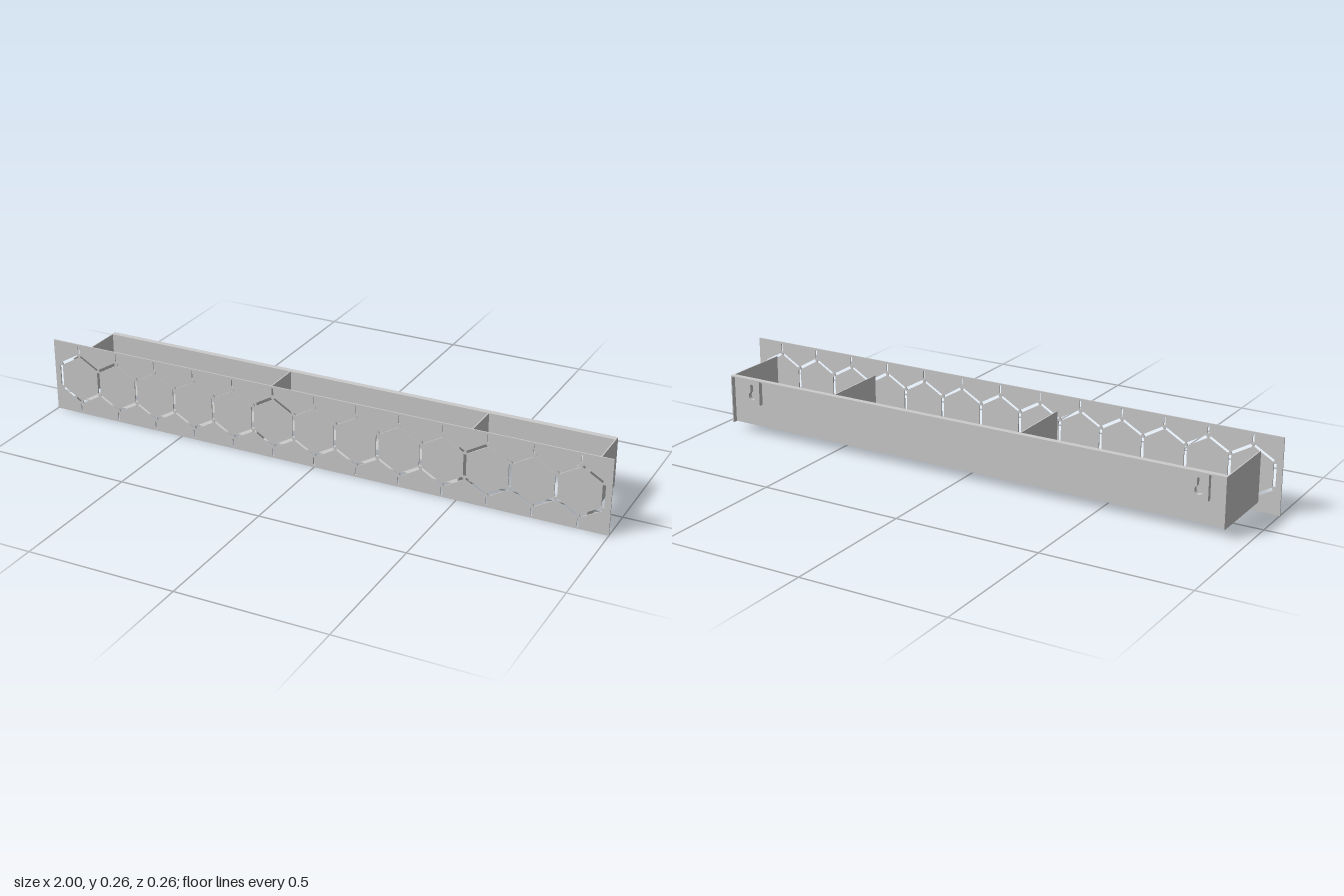
import * as THREE from 'three';

const material = new THREE.MeshStandardMaterial({ color: 0xcccccc, side: THREE.DoubleSide });

function add(parent, name, geometry, x = 0, y = 0, z = 0) {
  const mesh = new THREE.Mesh(geometry, material);
  mesh.name = name;
  mesh.position.set(x, y, z);
  parent.add(mesh);
  return mesh;
}

// Box given by its min and max corners
function block(parent, name, [x0, y0, z0], [x1, y1, z1]) {
  return add(parent, name, new THREE.BoxGeometry(x1 - x0, y1 - y0, z1 - z0),
    (x0 + x1) / 2, (y0 + y1) / 2, (z0 + z1) / 2);
}

// Thin rectangular hole centred on (x, y), turned by angle
function slot(x, y, length, width, angle) {
  const c = Math.cos(angle), s = Math.sin(angle);
  const corners = [[-1, -1], [-1, 1], [1, 1], [1, -1]].map(([u, v]) => {
    const a = u * length / 2, b = v * width / 2;
    return new THREE.Vector2(x + a * c - b * s, y + a * s + b * c);
  });
  return new THREE.Path(corners);
}

// Front panel pierced by a row of hexagon outlines
function panelGeometry(height, thickness) {
  const shape = new THREE.Shape();
  shape.moveTo(-1, 0).lineTo(1, 0).lineTo(1, height).lineTo(-1, height).closePath();
  const count = 13, pitch = 0.15, side = pitch / Math.sqrt(3), mid = height / 2;
  const slit = 0.01, length = side - 0.011;
  for (let i = 0; i < count; i++) {
    const x = (i - (count - 1) / 2) * pitch;
    for (let k = 0; k < 6; k++) {
      if (k === 3 && i > 0) continue; // side shared with the previous hexagon
      const a = k * Math.PI / 3;
      shape.holes.push(slot(x + Math.cos(a) * pitch / 2, mid + Math.sin(a) * pitch / 2,
        length, slit, a + Math.PI / 2));
    }
    // Short ticks above and below each hexagon
    for (const s of [-1, 1]) shape.holes.push(slot(x, mid + s * 0.108, 0.027, 0.006, Math.PI / 2));
  }
  return new THREE.ExtrudeGeometry(shape, { depth: thickness, bevelEnabled: false });
}

// Small hanger plate with a keyhole opening
function hangerGeometry(depth) {
  const w = 0.032, h = 0.086;
  const shape = new THREE.Shape();
  shape.moveTo(-w, 0).lineTo(w, 0).lineTo(w, h).lineTo(-w, h).closePath();
  const hole = new THREE.Path();
  const half = 0.006, radius = 0.014, cy = 0.03;
  const a = Math.acos(half / radius);
  hole.absarc(0, cy, radius, Math.PI - a, a, false);
  hole.absarc(0, 0.066, half, 0, Math.PI, false);
  hole.closePath();
  shape.holes.push(hole);
  return new THREE.ExtrudeGeometry(shape, { depth, bevelEnabled: false, curveSegments: 16 });
}

export function createModel() {
  const group = new THREE.Group();
  group.name = 'wallShelf';

  const bottom = 0.03, top = 0.2;
  const front = 0.127, back = -0.131, wall = -0.115;
  const end = 0.927, t = 0.004;

  add(group, 'frontPanel', panelGeometry(0.257, 0.004), 0, 0, front);

  // Back wall with a rear lip along its top
  block(group, 'backWall', [-end, bottom, wall], [end, top, wall + t]);
  block(group, 'topLip', [-end, top - t, back], [end, top, wall + t]);

  // End walls and dividers
  for (const s of [-1, 1]) {
    const x = s * (end - t / 2);
    block(group, 'endWall', [x - t / 2, bottom, back], [x + t / 2, top, front]);
  }
  for (const x of [-0.215, 0.502]) {
    block(group, 'divider', [x - t / 2, bottom, wall], [x + t / 2, top, front]);
  }

  // Floor slats under the two wide compartments
  for (const z of [-0.05, 0.055]) {
    block(group, 'floorSlat', [-end, bottom, z - 0.035], [0.502, bottom + t, z + 0.035]);
  }

  // Pegs with wider heads in the open compartment
  for (const x of [0.59, 0.835]) {
    const peg = new THREE.Group();
    peg.name = 'peg';
    peg.position.set(x, 0.115, wall);
    const shaft = add(peg, 'pegShaft', new THREE.CylinderGeometry(0.0175, 0.0175, 0.11, 32), 0, 0, 0.055);
    const head = add(peg, 'pegHead', new THREE.CylinderGeometry(0.027, 0.027, 0.008, 32), 0, 0, 0.111);
    shaft.rotation.x = head.rotation.x = Math.PI / 2;
    group.add(peg);
  }

  // Hanger plates on the rear
  for (const s of [-1, 1]) add(group, 'hanger', hangerGeometry(wall - back), s * 0.838, 0.11, back);

  return group;
}
